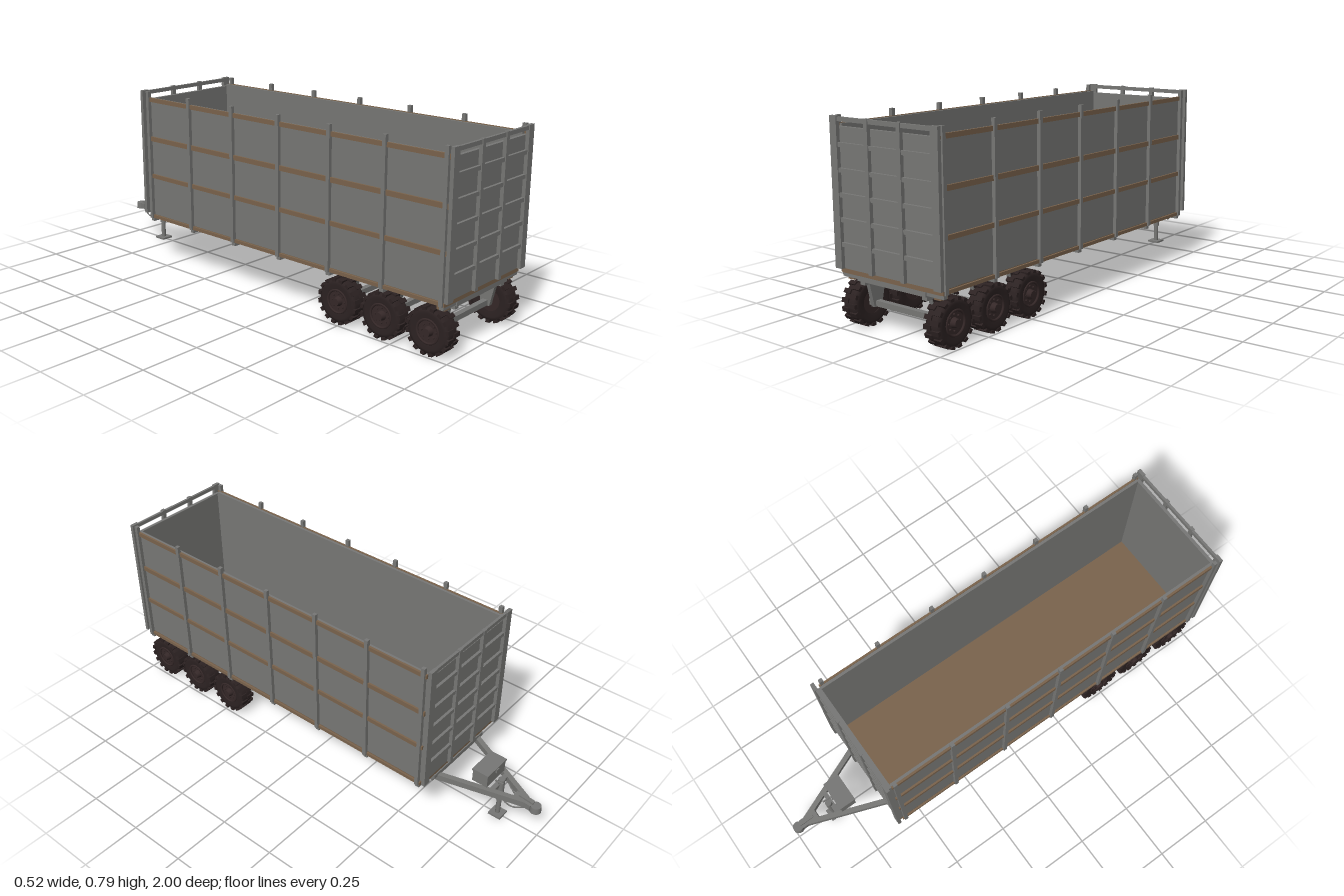
import * as THREE from 'three';

const mat = (name, color) => {
  const m = new THREE.MeshStandardMaterial({ color });
  m.name = name;
  return m;
};

export function createModel() {
  const steel = mat('steel grey', 0x777775);
  const wood = mat('timber brown', 0x7a634c);
  const rubber = mat('tyre black', 0x2c2222);
  const hubPaint = mat('hub dark', 0x352828);
  const root = new THREE.Group();
  root.name = 'trailer';

  const add = (name, geo, material, parent = root) => {
    const m = new THREE.Mesh(geo, material);
    m.name = name;
    parent.add(m);
    return m;
  };
  // Box given by its low and high limits on each axis
  const box = (name, material, [x0, x1], [y0, y1], [z0, z1], parent = root) => {
    const m = add(name, new THREE.BoxGeometry(x1 - x0, y1 - y0, z1 - z0), material, parent);
    m.position.set((x0 + x1) / 2, (y0 + y1) / 2, (z0 + z1) / 2);
    return m;
  };
  // Same box on the left and right
  const pair = (name, material, [x0, x1], y, z) => {
    box(name, material, [x0, x1], y, z);
    box(name, material, [-x1, -x0], y, z);
  };
  // Rectangular bar between two points
  const bar = (name, material, a, b, w, h, parent = root) => {
    const p = new THREE.Vector3(...a), q = new THREE.Vector3(...b);
    const m = add(name, new THREE.BoxGeometry(w, h, p.distanceTo(q)), material, parent);
    m.position.copy(p).add(q).multiplyScalar(0.5);
    m.lookAt(q);
    return m;
  };

  // Timber floor and side walls
  box('floor', wood, [-0.245, 0.245], [0.211, 0.23], [-0.605, 0.98]);
  pair('sideWall', steel, [0.232, 0.245], [0.228, 0.757], [-0.597, 0.97]);
  for (const [y, h] of [[0.75, 0.018], [0.576, 0.02], [0.407, 0.018], [0.219, 0.014]])
    pair('sideRail', wood, [0.244, 0.253], [y - h / 2, y + h / 2], [-0.597, 0.98]);

  // Side posts with cross members below them
  const postZ = [0.967, 0.706, 0.449, 0.19, -0.065, -0.322, -0.583];
  for (const z of postZ) {
    pair('sidePost', steel, [0.245, 0.26], [0.212, 0.787], [z - 0.008, z + 0.008]);
    box('crossMember', steel, [-0.251, 0.251], [0.197, 0.213], [z - 0.009, z + 0.009]);
  }

  // End walls: sheet, uprights and cross rails
  for (const [name, base, s] of [['tailgate', 0.985, 1], ['headboard', -0.61, -1]]) {
    const g = new THREE.Group();
    g.name = name;
    g.position.z = base;
    if (s < 0) g.rotation.y = Math.PI;
    root.add(g);
    box('sheet', steel, [-0.245, 0.245], [0.23, 0.749], [-0.014, 0], g);
    for (const [x, w] of [[0.245, 0.034], [0.079, 0.018], [-0.079, 0.018], [-0.245, 0.034]])
      box('upright', steel, [x - w / 2, x + w / 2], [0.23, 0.787], [0, 0.015], g);
    for (const y of [0.776, 0.685, 0.593, 0.503, 0.412, 0.321])
      box('crossRail', steel, [-0.24, 0.24], [y - 0.008, y + 0.008], [0, 0.011], g);
  }

  // Chassis
  pair('chassisBeam', steel, [0.143, 0.167], [0.176, 0.211], [-0.6, 0.97]);
  for (const z of [0.97, -0.6])
    box('endBeam', steel, [-0.17, 0.17], [0.192, 0.211], [z - 0.01, z + 0.01]);
  pair('cornerBlock', wood, [0.2, 0.231], [0.188, 0.211], [0.935, 0.97]);

  // Tapered hanger plate, seen from the side
  const hangerShape = new THREE.Shape([
    [-0.04, 0.18], [-0.018, 0.082], [0.018, 0.082], [0.04, 0.18],
  ].map(p => new THREE.Vector2(...p)));
  const hangerGeo = new THREE.ExtrudeGeometry(hangerShape, { depth: 0.018, bevelEnabled: false });
  hangerGeo.translate(0, 0, -0.009).rotateY(Math.PI / 2);

  // Tyre profile as (radius, width)
  const tyreGeo = new THREE.LatheGeometry([
    [0.045, -0.03], [0.07, -0.034], [0.083, -0.031], [0.088, -0.022],
    [0.088, 0.022], [0.083, 0.031], [0.07, 0.034], [0.045, 0.03],
  ].map(p => new THREE.Vector2(...p)), 28).rotateZ(-Math.PI / 2);
  const lugGeo = new THREE.BoxGeometry(0.034, 0.012, 0.017);
  const hubDisc = new THREE.CylinderGeometry(0.049, 0.049, 0.044, 24).rotateZ(Math.PI / 2);
  const hubCap = new THREE.CylinderGeometry(0.015, 0.02, 0.022, 16).rotateZ(-Math.PI / 2);
  const boltGeo = new THREE.CylinderGeometry(0.004, 0.004, 0.01, 6).rotateZ(Math.PI / 2);

  const makeWheel = () => {
    const g = new THREE.Group();
    g.name = 'wheel';
    add('tyre', tyreGeo, rubber, g).material.side = THREE.DoubleSide;
    add('rim', hubDisc, hubPaint, g);
    add('hubCap', hubCap, hubPaint, g).position.x = 0.031;
    const ring = new THREE.TorusGeometry(0.046, 0.005, 6, 28).rotateY(Math.PI / 2);
    add('rimEdge', ring, hubPaint, g).position.x = 0.03;
    for (let i = 0; i < 8; i++) {
      const a = i * Math.PI / 4;
      add('wheelBolt', boltGeo, hubPaint, g).position.set(0.024, 0.03 * Math.cos(a), 0.03 * Math.sin(a));
    }
    // Staggered tread lugs on both shoulders
    for (let i = 0; i < 32; i++) {
      const a = i * Math.PI / 16;
      const lug = add('treadLug', lugGeo, rubber, g);
      lug.position.set(i % 2 ? 0.018 : -0.018, 0.087 * Math.cos(a), 0.087 * Math.sin(a));
      lug.rotation.x = a;
    }
    return g;
  };

  // Three axles with wheels and hangers
  for (const z of [0.905, 0.695, 0.487]) {
    const axle = add('axle', new THREE.BoxGeometry(0.37, 0.022, 0.022), steel);
    axle.position.set(0, 0.095, z);
    for (const s of [-1, 1]) {
      add('hanger', hangerGeo, steel).position.set(s * 0.156, 0, z);
      const w = makeWheel();
      w.position.set(s * 0.206, 0.095, z);
      if (s < 0) w.rotation.y = Math.PI;
      root.add(w);
    }
  }

  // A-shaped drawbar and coupling
  const drawbar = new THREE.Group();
  drawbar.name = 'drawbar';
  root.add(drawbar);
  for (const s of [-1, 1])
    bar('drawbarArm', steel, [s * 0.15, 0.19, -0.58], [s * 0.01, 0.145, -0.93], 0.022, 0.026, drawbar);
  bar('couplingNeck', steel, [0, 0.149, -0.88], [0, 0.141, -0.96], 0.038, 0.026, drawbar);
  const head = add('couplingHead', new THREE.CylinderGeometry(0.022, 0.024, 0.028, 20), steel, drawbar);
  head.position.set(0, 0.14, -0.976);
  bar('couplingLever', steel, [0, 0.162, -0.9], [0, 0.157, -0.965], 0.012, 0.01, drawbar);
  bar('drawbarBrace', steel, [-0.06, 0.165, -0.805], [0.06, 0.165, -0.805], 0.02, 0.016, drawbar);

  // Toolbox on the drawbar
  box('toolbox', steel, [-0.064, 0.064], [0.178, 0.231], [-0.787, -0.718]);
  box('toolboxLid', steel, [-0.067, 0.067], [0.231, 0.24], [-0.79, -0.715]);
  box('toolboxLatch', steel, [-0.008, 0.008], [0.218, 0.235], [-0.794, -0.787]);

  // Support jack
  const jack = new THREE.Group();
  jack.name = 'supportJack';
  jack.position.z = -0.815;
  root.add(jack);
  const tube = (name, r, y0, y1) => {
    add(name, new THREE.CylinderGeometry(r, r, y1 - y0, 16), steel, jack).position.y = (y0 + y1) / 2;
  };
  tube('jackSleeve', 0.014, 0.085, 0.195);
  tube('jackLeg', 0.01, 0.008, 0.09);
  box('jackFoot', steel, [-0.028, 0.028], [0.004, 0.012], [-0.028, 0.028], jack);
  bar('jackCrank', steel, [0, 0.19, 0], [0.035, 0.19, 0], 0.006, 0.006, jack);

  // Safety cables hanging under the coupling
  for (const s of [-1, 1]) {
    const path = new THREE.CatmullRomCurve3([
      [s * 0.038, 0.15, -0.83], [s * 0.032, 0.118, -0.865],
      [s * 0.024, 0.108, -0.89], [s * 0.014, 0.135, -0.945],
    ].map(p => new THREE.Vector3(...p)));
    add('safetyCable', new THREE.TubeGeometry(path, 16, 0.0035, 6), steel);
  }

  return root;
}
